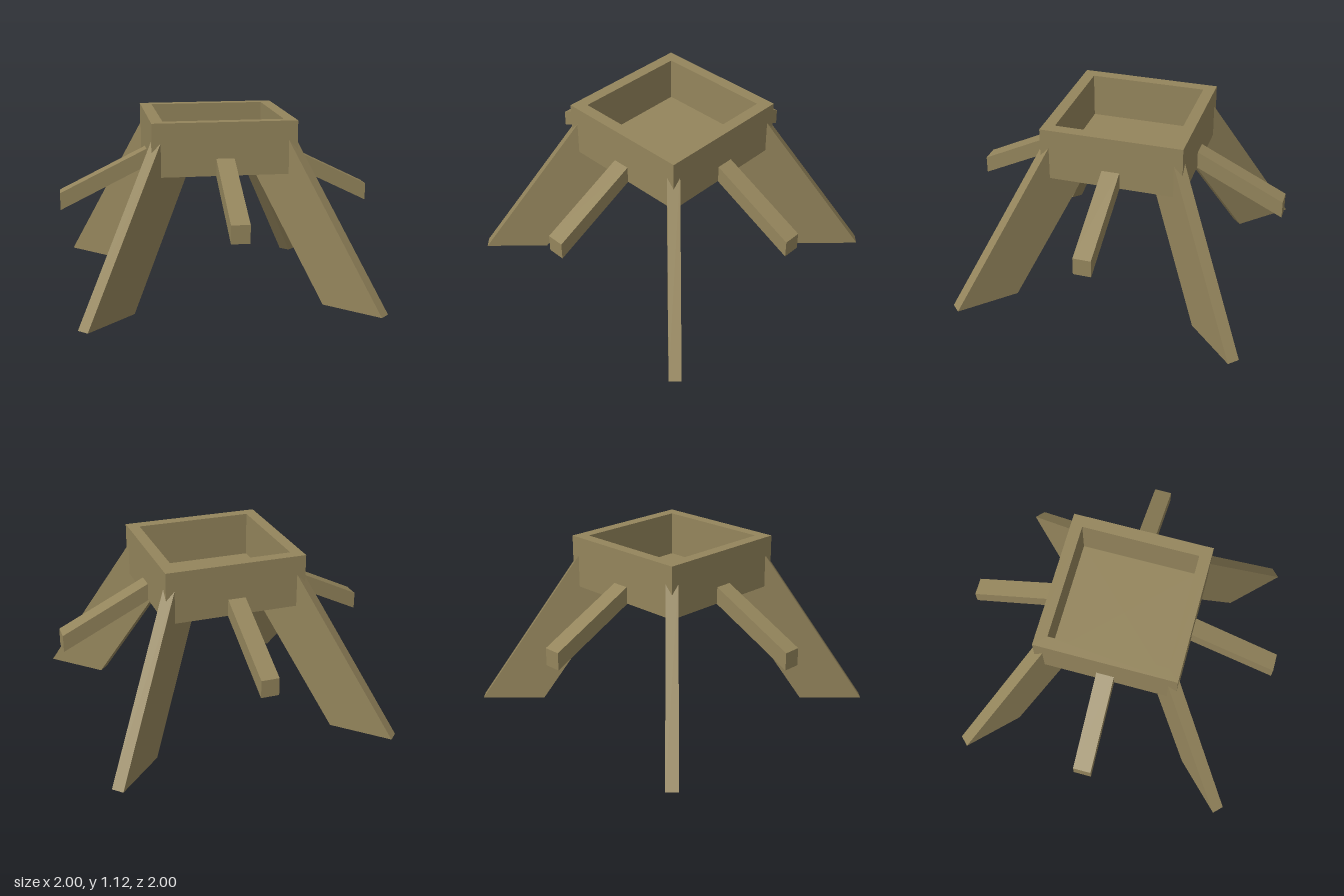
import * as THREE from 'three';

const wood = new THREE.MeshStandardMaterial({ color: 0x94855c });
wood.name = 'wood';

// Plank or beam: side outline in (distance from centre, height), given a width
function makeArm(name, outline, width, angle) {
  const shape = new THREE.Shape(outline.map(([r, y]) => new THREE.Vector2(r, y)));
  const geometry = new THREE.ExtrudeGeometry(shape, { depth: width, bevelEnabled: false });
  geometry.translate(0, 0, -width / 2);
  const mesh = new THREE.Mesh(geometry, wood);
  mesh.name = name;
  mesh.rotation.y = angle;
  return mesh;
}

export function createModel() {
  const model = new THREE.Group();
  model.name = 'splayedStand';

  // Open square tray: a four-sided lathe turned to line up with the axes
  const profile = [
    [0, 0.79], [0.447, 0.79], [0.447, 1.12], [0.373, 1.12], [0.373, 0.835], [0, 0.835],
  ].map(([r, y]) => new THREE.Vector2(r * Math.SQRT2, y));
  const trayGeometry = new THREE.LatheGeometry(profile, 4).rotateY(Math.PI / 4).toNonIndexed();
  trayGeometry.computeVertexNormals();
  const tray = new THREE.Mesh(trayGeometry, wood);
  tray.name = 'tray';
  model.add(tray);

  // Leg tops end inside the corner walls, beams end inside the side walls
  const legOutline = [[0.857, 0], [1.264, 0], [0.56, 1.05], [0.56, 0.81], [0.315, 0.81]];
  const beamOutline = [[0.4, 0.81], [1, 0.515], [1, 0.625], [0.4, 0.92]];

  for (let i = 0; i < 4; i++) {
    const turn = (i * Math.PI) / 2;
    model.add(makeArm('leg' + (i + 1), legOutline, 0.077, turn + Math.PI / 4));
    model.add(makeArm('sideBeam' + (i + 1), beamOutline, 0.112, turn));
  }
  return model;
}
